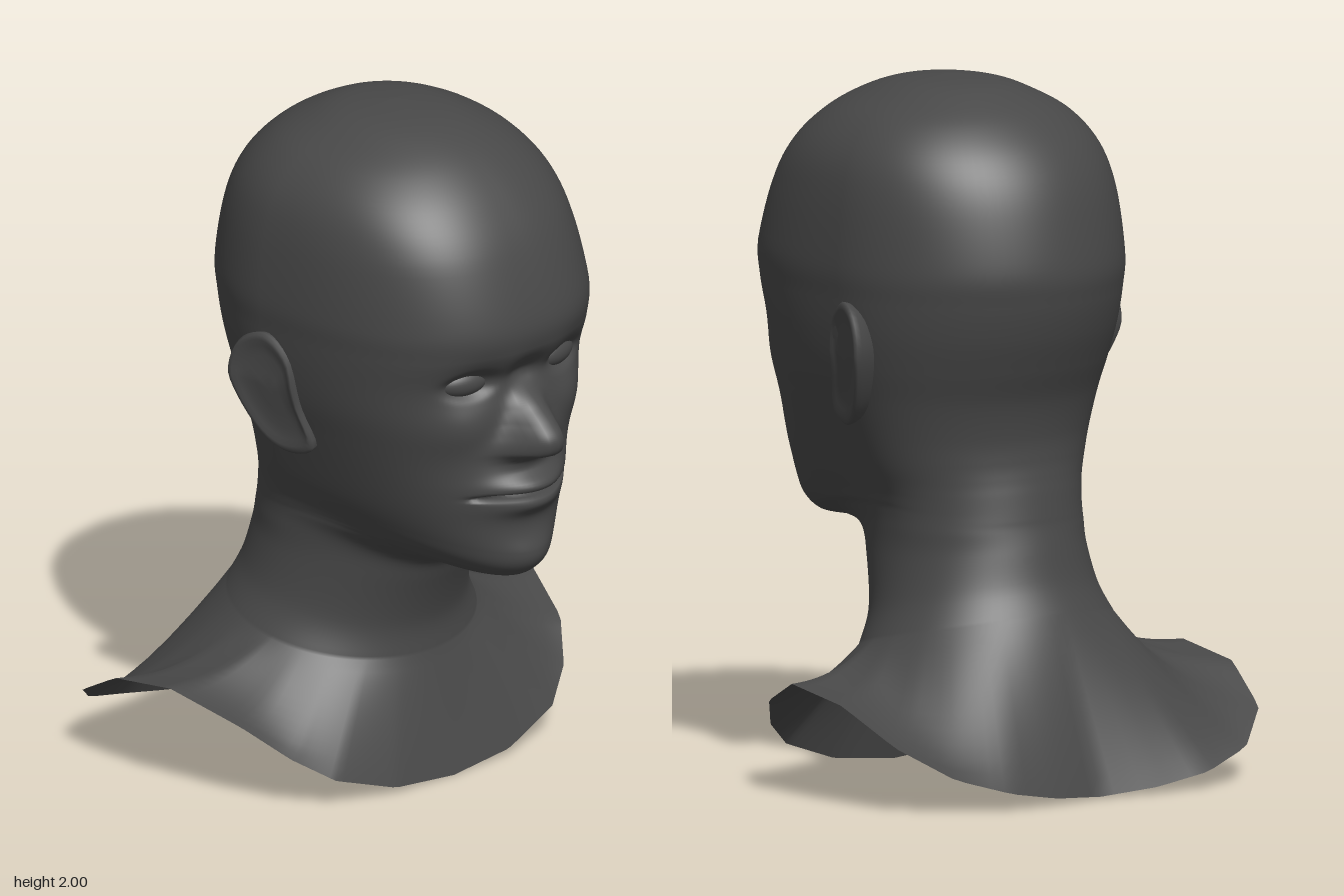
import * as THREE from 'three';
import { mergeVertices } from 'three/addons/utils/BufferGeometryUtils.js';

// Catmull-Rom interpolation of a list of equal-length tuples, f in index units
function sample(list, f) {
  const last = list.length - 1;
  const i = Math.min(Math.floor(f), last - 1);
  const t = f - i;
  const at = (k) => list[Math.max(0, Math.min(last, k))];
  const [a, b, c, d] = [at(i - 1), at(i), at(i + 1), at(i + 2)];
  return b.map((v, k) => v + 0.5 * t * (c[k] - a[k]
    + t * (2 * a[k] - 5 * v + 4 * c[k] - d[k] + t * (3 * (v - c[k]) + d[k] - a[k]))));
}

// Smooth surface through closed rings; point(row, column) returns [x, y, z]
function loft(rows, cols, point) {
  const pos = [], index = [];
  for (let r = 0; r < rows; r++) {
    for (let c = 0; c < cols; c++) {
      pos.push(...point(r, c));
      if (r === rows - 1) continue;
      const a = r * cols + c, d = r * cols + (c + 1) % cols;
      index.push(a, a + cols, d, a + cols, d + cols, d);
    }
  }
  let geo = new THREE.BufferGeometry();
  geo.setAttribute('position', new THREE.Float32BufferAttribute(pos, 3));
  geo.setIndex(index);
  geo = mergeVertices(geo, 1e-5);
  geo.computeVertexNormals();
  return geo;
}

// Rings from crown to neck: front y, back y, front z, back z, half width, z of widest point, front squareness
const RINGS = [
  [2.0, 2.0, 0.04, 0.04, 0, 0.04, 2],
  [1.985, 1.985, 0.19, -0.115, 0.135, 0.03, 2],
  [1.95, 1.95, 0.305, -0.215, 0.23, 0.02, 2.1],
  [1.89, 1.89, 0.405, -0.315, 0.33, 0, 2.25],
  [1.8, 1.8, 0.495, -0.403, 0.402, -0.01, 2.4],
  [1.68, 1.68, 0.567, -0.462, 0.437, -0.02, 2.5],
  [1.5, 1.5, 0.622, -0.5, 0.455, -0.02, 2.5],
  [1.4, 1.4, 0.618, -0.492, 0.45, -0.02, 2.5],
  [1.3, 1.3, 0.588, -0.467, 0.44, -0.02, 2.55],
  [1.2, 1.2, 0.575, -0.428, 0.422, -0.02, 2.6],
  [1.1, 1.1, 0.57, -0.386, 0.395, -0.03, 2.6],
  [0.98, 1.0, 0.58, -0.364, 0.365, -0.04, 2.45],
  [0.87, 0.93, 0.595, -0.363, 0.341, -0.05, 2.25],
  [0.78, 0.88, 0.605, -0.37, 0.322, -0.06, 2.05],
  [0.72, 0.84, 0.59, -0.378, 0.311, -0.07, 1.95],
  [0.685, 0.8, 0.53, -0.385, 0.304, -0.08, 1.9],
  [0.685, 0.77, 0.4, -0.39, 0.3, -0.09, 2],
  [0.665, 0.74, 0.285, -0.395, 0.299, -0.1, 2],
  [0.59, 0.68, 0.24, -0.41, 0.304, -0.1, 2],
  [0.45, 0.58, 0.192, -0.435, 0.332, -0.12, 2],
  [0.35, 0.5, 0.19, -0.47, 0.38, -0.13, 2],
];

// Cut edge of the bust, from breast round the shoulder to the back
const RIM = [
  [0, 0, 0.29], [0.22, 0.02, 0.285], [0.42, 0.085, 0.25], [0.53, 0.16, 0.18],
  [0.62, 0.25, 0.07], [0.7, 0.33, -0.14], [0.7, 0.295, -0.37], [0.65, 0.19, -0.56],
  [0.52, 0.1, -0.67], [0.35, 0.05, -0.715], [0.18, 0.02, -0.7], [0, 0.005, -0.67],
];

// Straight-edged point on the rim, f in index units
function rimPoint(f) {
  const i = Math.min(Math.floor(f), RIM.length - 2);
  return RIM[i].map((v, k) => v + (RIM[i + 1][k] - v) * (f - i));
}

// Nose height above the face: y, projection, half width
const NOSE = [
  [1.32, 0, 0.05], [1.27, 0.025, 0.05], [1.22, 0.07, 0.056], [1.18, 0.115, 0.066],
  [1.15, 0.14, 0.076], [1.12, 0.14, 0.086], [1.095, 0.12, 0.09], [1.078, 0.07, 0.088],
  [1.06, 0.025, 0.085], [1.03, 0, 0.08],
];

const bump = (x, y, x0, y0, sx, sy) => Math.exp(-(((x - x0) / sx) ** 2) - ((y - y0) / sy) ** 2);

// Forward offset of the face at a point
function relief(x, y) {
  const ax = Math.abs(x);
  let d = -0.045 * bump(ax, y, 0, 1.305, 0.07, 0.06);
  d -= 0.032 * bump(ax, y, 0.17, 1.31, 0.09, 0.07);                // eye sockets
  const lid = ((ax - 0.178) / 0.08) ** 2 + ((y - 1.31) / 0.04) ** 2;
  d -= 0.02 * Math.exp(-lid * lid);                                // eye openings
  d += 0.018 * bump(ax, y, 0.22, 1.17, 0.1, 0.08);                 // cheeks
  for (let i = 0; i < NOSE.length - 1; i++) {
    const [y0] = NOSE[i], [y1] = NOSE[i + 1];
    if (y <= y0 && y > y1) {
      const [, h, w] = sample(NOSE, i + (y0 - y) / (y0 - y1));
      d += h * Math.exp(-((ax / w) ** 2.4));
    }
  }
  d += 0.045 * bump(ax, y, 0, 0.98, 0.16, 0.085);                  // muzzle
  d += 0.026 * bump(ax, y, 0, 0.99, 0.12, 0.026);                  // upper lip
  d += 0.026 * bump(ax, y, 0, 0.93, 0.11, 0.03);                   // lower lip
  d -= 0.05 * Math.exp(-((ax / 0.165) ** 6) - ((y - 0.962) / 0.007) ** 2); // mouth line
  d += 0.014 * bump(ax, y, 0, 0.765, 0.1, 0.05);                   // chin
  return d;
}

// Point on the skull, face and neck at ring position f and angle u (0 = front)
function headPoint(f, u) {
  const [yF, yB, zF, zB, w, zm, n] = sample(RINGS, f);
  const s = Math.sin(u), c = Math.cos(u);
  const e = c > 0 ? 2 / n : 1;
  const front = 0.5 + 0.5 * c;
  let x = Math.sign(s) * Math.max(w, 0) * Math.abs(s) ** e;
  const jawLift = 0.13 * s * s * front * Math.exp(-(((f - 15) / 2.6) ** 2));
  const y = yB + (yF - yB) * front + jawLift;
  let z = c > 0 ? zm + (zF - zm) * c ** e : zm + (zm - zB) * c;
  if (c > 0 && f > 5 && f < 16) {
    z += relief(x, y) * Math.min(1, c * 3);
    x += 0.012 * c * Math.min(1, f - 5, 16 - f);
  }
  return [x, y, z];
}

function buildBody() {
  const cols = 128, steps = [];
  for (let i = 0; i < RINGS.length - 1; i++) {
    const count = i >= 7 && i <= 12 ? 18 : 6;
    for (let k = 0; k < count; k++) steps.push(i + k / count);
  }
  const end = RINGS.length - 1, flare = 10;
  return loft(steps.length + flare + 1, cols, (r, c) => {
    const t = (c / cols) * Math.PI * 2;
    const u = t - 0.4 * Math.sin(t);                               // finer columns on the face
    if (r < steps.length) return headPoint(steps[r], u);
    // shoulders sweep from the base of the neck out to the rim
    const s = (r - steps.length) / flare;
    const p = headPoint(end, u);
    const half = u > Math.PI ? 2 * Math.PI - u : u;
    const q = rimPoint((half / Math.PI) * (RIM.length - 1));
    if (u > Math.PI) q[0] = -q[0];
    const drop = 1 - (1 - s) ** (1 + 1.4 * Math.sin(u) ** 6);
    return [p[0] + (q[0] - p[0]) * s, p[1] + (q[1] - p[1]) * drop, p[2] + (q[2] - p[2]) * s];
  });
}

function buildEar() {
  const outline = new THREE.CatmullRomCurve3([
    [1.395, -0.06], [1.37, -0.13], [1.28, -0.172], [1.18, -0.15], [1.06, -0.075], [1.03, -0.01],
    [1.055, 0.065], [1.18, 0.04], [1.33, 0.015],
  ].map(([y, z]) => new THREE.Vector3(0, y, z)), true);
  // scale about the middle and sideways offset, from the root over the rim into the bowl
  const rings = [[0.7, -0.09], [0.9, -0.05], [0.98, -0.018], [1, 0], [0.96, 0.008], [0.88, 0.008],
    [0.78, 0.002], [0.6, -0.004], [0.3, -0.004], [0, -0.003]];
  const cols = 40;
  return loft(rings.length, cols, (r, c) => {
    const [k, out] = rings[r];
    const p = outline.getPoint(c / cols);
    const y = 1.22 + (p.y - 1.22) * k, z = -0.05 + (p.z + 0.05) * k;
    return [0.438 - 0.3 * z - 0.18 * Math.max(0, 1.25 - y) + out, y, z];
  });
}

export function createModel() {
  const model = new THREE.Group();
  model.name = 'headBust';
  const grey = new THREE.MeshStandardMaterial({ color: 0x484848, side: THREE.DoubleSide });
  grey.name = 'darkGrey';
  const add = (name, geo) => {
    const mesh = new THREE.Mesh(geo, grey);
    mesh.name = name;
    model.add(mesh);
    return mesh;
  };

  add('headNeckAndShoulders', buildBody());

  // Ears, the right one set a little further forward
  const ear = buildEar();
  add('leftEar', ear);
  const rightEar = add('rightEar', ear);
  rightEar.scale.x = -1;
  rightEar.position.set(-0.01, 0, 0.06);

  // Eyeballs
  const ball = new THREE.SphereGeometry(1, 32, 20);
  for (const side of [1, -1]) {
    const eye = add(side > 0 ? 'leftEye' : 'rightEye', ball);
    eye.scale.set(0.08, 0.042, 0.04);
    eye.position.set(0.012 + side * 0.178, 1.31, 0.5);
    eye.rotation.y = side * 0.25;
  }
  return model;
}
